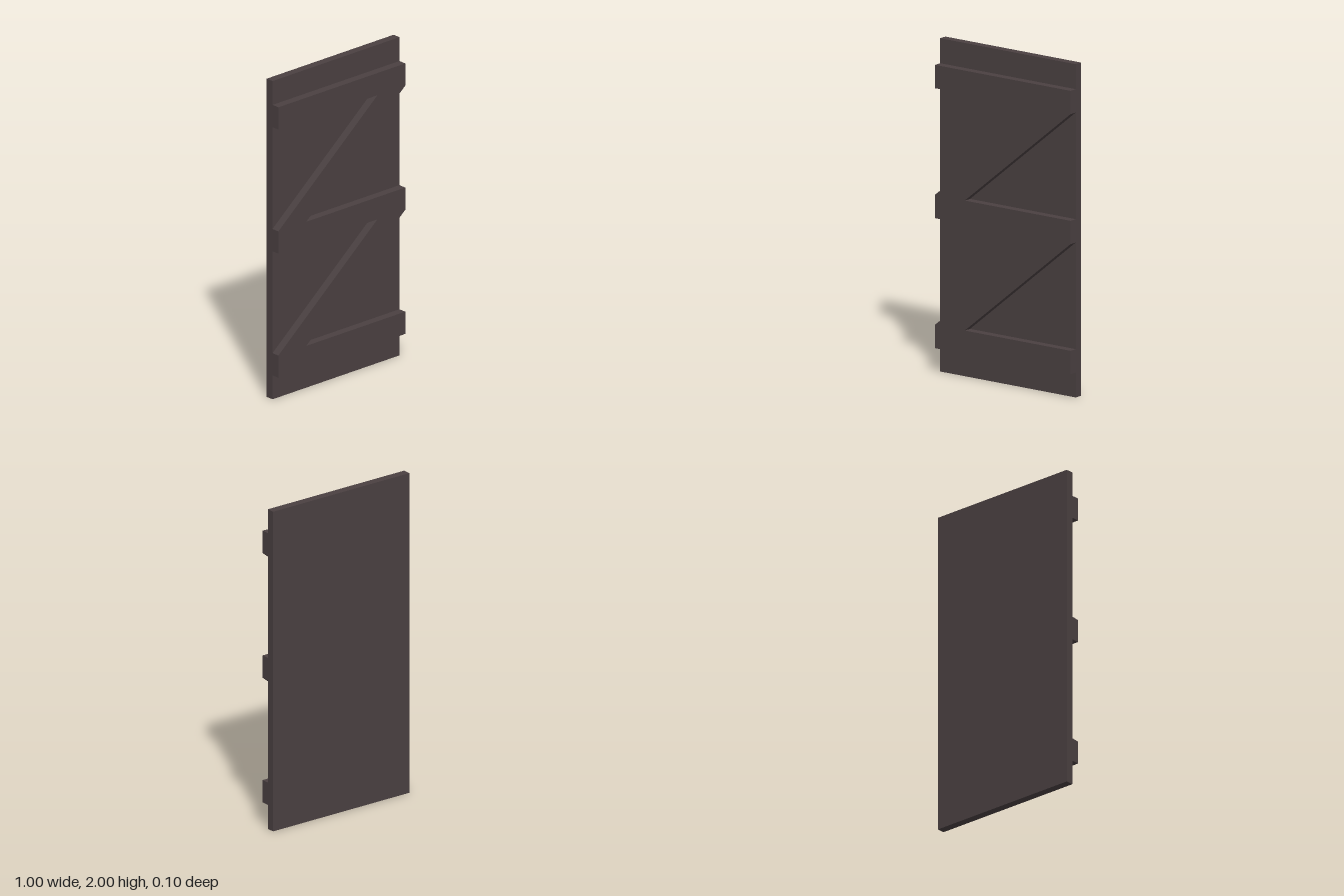
import * as THREE from 'three';

const WIDTH = 1, HEIGHT = 2, DEPTH = 0.05;
const RAIL = 0.14;                      // rail height
const RAIL_CENTRES = [0.22, 1, 1.78];
const FOOT = 0.22;                      // horizontal width of a diagonal brace

export function createModel() {
  const door = new THREE.Group();
  door.name = 'door';
  const wood = new THREE.MeshStandardMaterial({ color: 0x4a4041 });
  wood.name = 'dark brown wood';

  const add = (name, geometry, y, z) => {
    const mesh = new THREE.Mesh(geometry, wood);
    mesh.name = name;
    mesh.position.set(0, y, z);
    door.add(mesh);
  };

  // Flat door panel
  add('panel', new THREE.BoxGeometry(WIDTH, HEIGHT, DEPTH), HEIGHT / 2, -DEPTH / 2);

  // Horizontal rails on the front
  const railNames = ['bottomRail', 'middleRail', 'topRail'];
  RAIL_CENTRES.forEach((y, i) =>
    add(railNames[i], new THREE.BoxGeometry(WIDTH, RAIL, DEPTH), y, DEPTH / 2));

  // Diagonal braces filling the gaps between rails
  const rise = RAIL_CENTRES[1] - RAIL_CENTRES[0] - RAIL;
  const half = WIDTH / 2;
  const outline = new THREE.Shape([
    new THREE.Vector2(-half, 0),
    new THREE.Vector2(-half + FOOT, 0),
    new THREE.Vector2(half, rise),
    new THREE.Vector2(half - FOOT, rise),
  ]);
  const brace = new THREE.ExtrudeGeometry(outline, { depth: DEPTH, bevelEnabled: false });
  ['lowerBrace', 'upperBrace'].forEach((name, i) =>
    add(name, brace, RAIL_CENTRES[i] + RAIL / 2, 0));

  return door;
}
